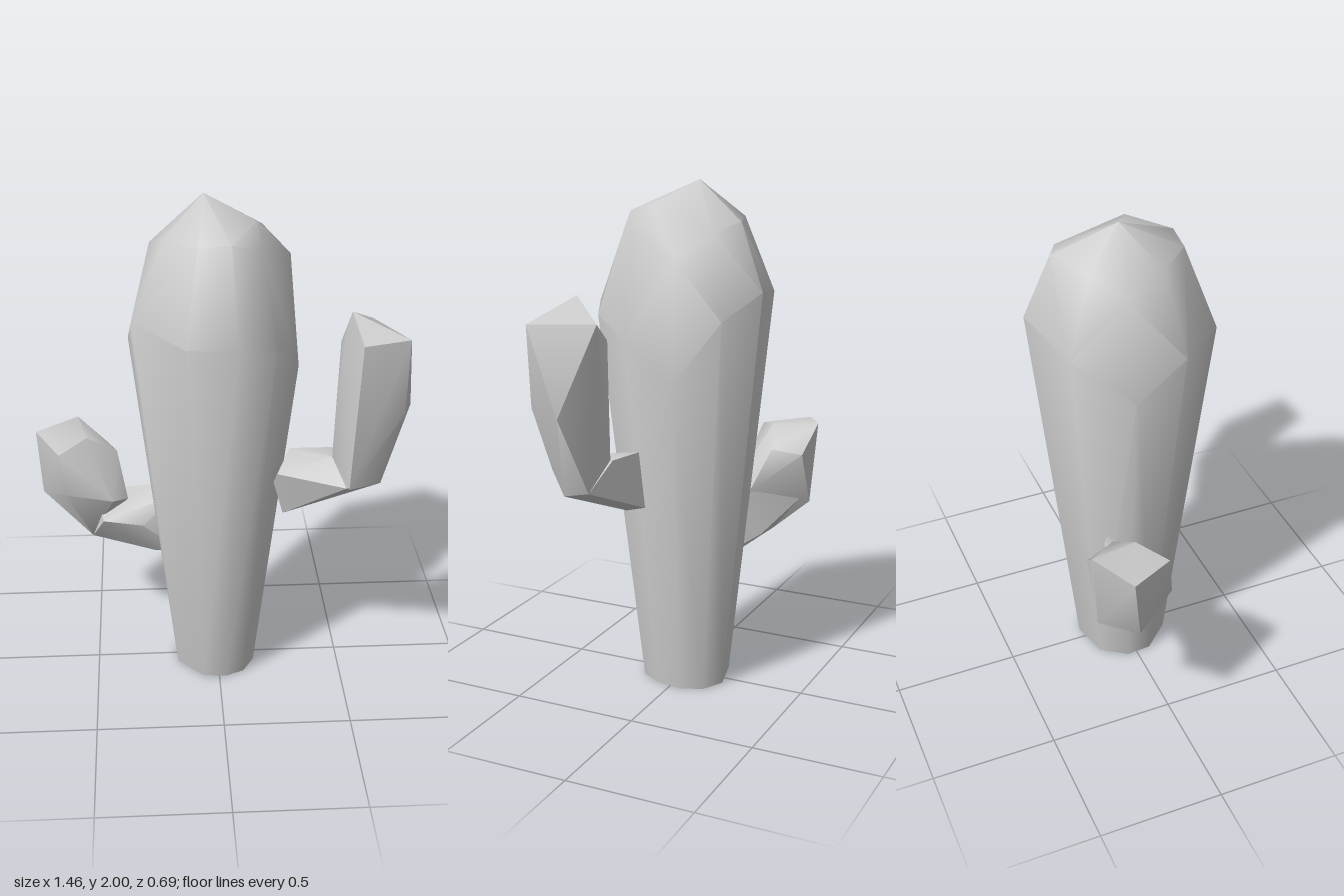
import * as THREE from 'three';
import { ConvexGeometry } from 'three/addons/geometries/ConvexGeometry.js';
import { toCreasedNormals } from 'three/addons/utils/BufferGeometryUtils.js';

const material = new THREE.MeshStandardMaterial({ color: 0xcccccc, roughness: 0.9 });

// Faceted convex segment spanning a few corner points, shaded smooth except at sharp edges
function segment(name, corners, crease = 0.8) {
  const points = corners.map((c) => new THREE.Vector3(...c));
  const mesh = new THREE.Mesh(toCreasedNormals(new ConvexGeometry(points), crease), material);
  mesh.name = name;
  return mesh;
}

function arm(name, ...segments) {
  const group = new THREE.Group();
  group.name = name;
  group.add(...segments);
  return group;
}

export function createModel() {
  const cactus = new THREE.Group();
  cactus.name = 'cactus';

  // Trunk: uneven widest ring, the same ring shrunk at the foot, a shoulder ring and the tip
  const belly = [
    [0.09, 1.61, -0.35], [0.26, 1.52, -0.26], [0.325, 1.28, -0.09], [0.29, 1.42, 0.12], [0.2, 1.5, 0.28],
    [0.06, 1.53, 0.345], [-0.13, 1.53, 0.33], [-0.325, 1.56, 0.12], [-0.34, 1.42, -0.08], [-0.2, 1.57, -0.28],
  ];
  const shoulder = [
    [0.06, 1.86, -0.25], [0.18, 1.83, -0.19], [0.28, 1.75, -0.07], [0.14, 1.92, 0.07], [0.15, 1.85, 0.18],
    [0.04, 1.88, 0.22], [-0.08, 1.87, 0.21], [-0.2, 1.86, 0.08], [-0.25, 1.8, -0.08], [-0.14, 1.86, -0.18],
  ];
  const foot = belly.map(([x, , z]) => [x * 0.51, 0, z * 0.51]);
  const tip = [-0.05, 2, -0.03];
  cactus.add(segment('trunk', [...foot, ...belly, ...shoulder, tip]));

  // Tall arm on the left: a stub leaving the trunk and an upright limb
  cactus.add(arm('leftArm',
    segment('leftArmStub', [
      [0.21, 0.9, 0.16], [0.25, 0.75, 0.14], [0.3, 0.79, 0.035], [0.28, 1.0, 0.07], [0.22, 0.95, 0.19],
      [0.43, 1.02, 0.19], [0.45, 1.01, 0.09], [0.62, 0.905, 0.2], [0.47, 0.95, 0.32], [0.6, 0.92, 0.11],
    ], 0.6),
    segment('leftArmLimb', [
      [0.43, 1.02, 0.19], [0.45, 1.01, 0.1], [0.62, 0.905, 0.2], [0.48, 0.95, 0.33], [0.6, 0.92, 0.11],
      [0.725, 1.22, 0.16], [0.68, 1.24, 0.29], [0.45, 1.48, 0.22], [0.46, 1.46, 0.1],
      [0.48, 1.62, 0.21], [0.685, 1.54, 0.3], [0.51, 1.53, 0.33], [0.58, 1.54, 0.075],
    ], 0.7)));

  // Short arm on the right: a stub leaving the trunk and a rounded bulb
  cactus.add(arm('rightArm',
    segment('rightArmStub', [
      [-0.15, 0.72, -0.1], [-0.15, 0.46, -0.08], [-0.24, 0.73, -0.17], [-0.25, 0.45, -0.1],
      [-0.25, 0.55, -0.22], [-0.3, 0.61, -0.03], [-0.36, 0.69, -0.16], [-0.51, 0.49, -0.17],
      [-0.46, 0.63, -0.04], [-0.5, 0.64, -0.29],
    ]),
    segment('rightArmBulb', [
      [-0.36, 0.69, -0.12], [-0.42, 0.72, -0.04], [-0.51, 0.49, -0.17], [-0.54, 0.62, -0.32],
      [-0.71, 0.68, -0.22], [-0.61, 0.75, -0.05], [-0.73, 0.94, -0.25], [-0.63, 0.92, -0.07],
      [-0.56, 0.96, -0.345], [-0.52, 0.95, -0.16], [-0.4, 0.87, -0.2], [-0.44, 0.85, -0.32],
    ])));

  return cactus;
}
